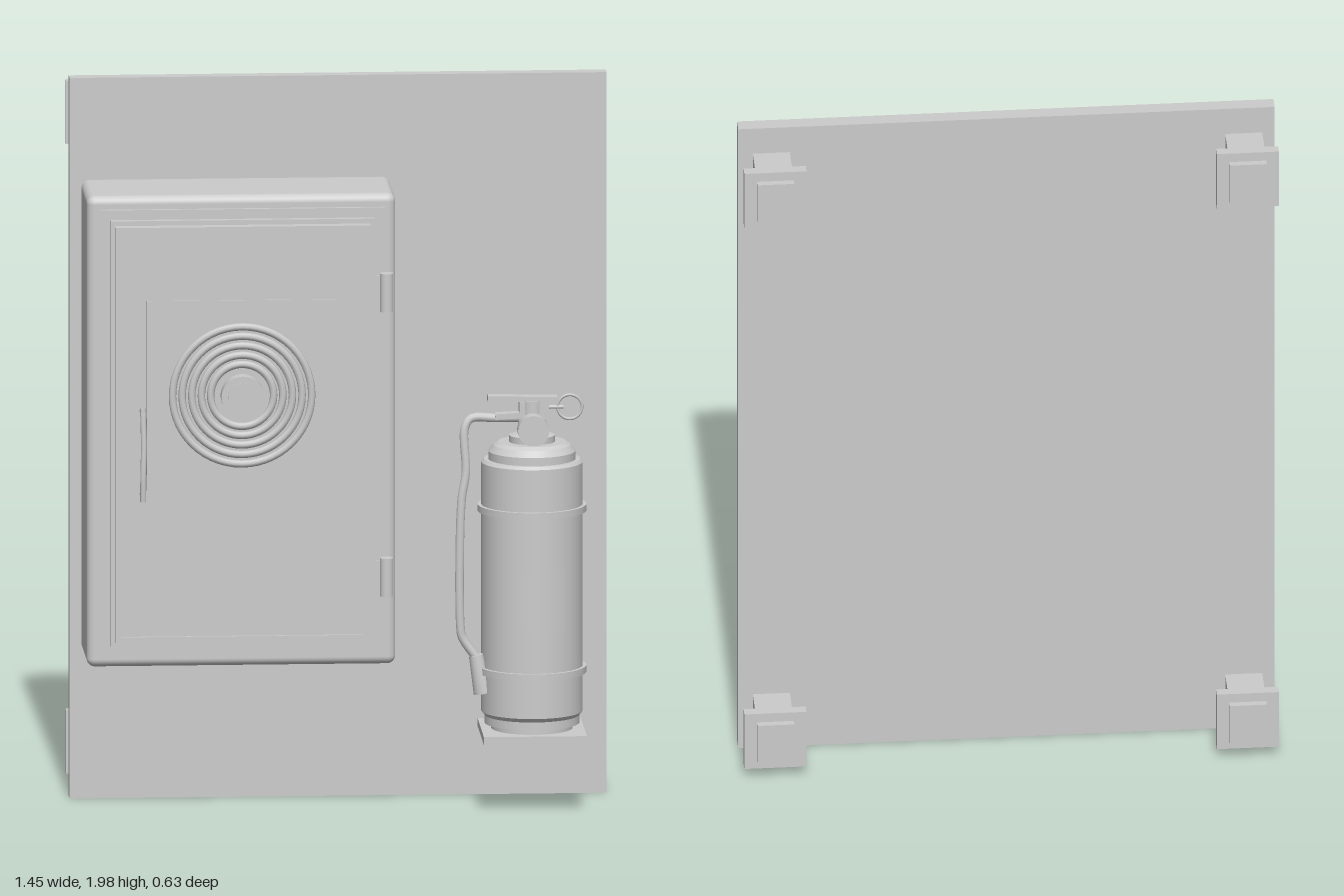
import * as THREE from 'three';
import { RoundedBoxGeometry } from 'three/addons/geometries/RoundedBoxGeometry.js';

export function createModel() {
  const root = new THREE.Group();
  const grey = new THREE.MeshStandardMaterial({ color: 0xcccccc });
  grey.name = 'lightGrey';
  const greySheet = new THREE.MeshStandardMaterial({ color: 0xcccccc, side: THREE.DoubleSide });
  greySheet.name = 'lightGreySheet';

  const add = (name, geo, parent = root, mat = grey) => {
    const m = new THREE.Mesh(geo, mat);
    m.name = name;
    parent.add(m);
    return m;
  };
  const group = (name) => {
    const g = new THREE.Group();
    g.name = name;
    root.add(g);
    return g;
  };
  // Box given by its limits on each axis
  const box = (name, x0, x1, y0, y1, z0, z1, parent) => {
    const m = add(name, new THREE.BoxGeometry(x1 - x0, y1 - y0, z1 - z0), parent);
    m.position.set((x0 + x1) / 2, (y0 + y1) / 2, (z0 + z1) / 2);
    return m;
  };
  // Lathe with hard edges: each profile segment gets its own normals
  const turned = (name, pts, parent) => {
    const g = new THREE.Group();
    g.name = name;
    parent.add(g);
    for (let i = 0; i < pts.length - 1; i++) {
      const seg = [pts[i], pts[i + 1]].map((p) => new THREE.Vector2(p[0], p[1]));
      add(name + 'Section', new THREE.LatheGeometry(seg, 40), g);
    }
    return g;
  };
  const tube = (name, pts, r, parent, n = 48) =>
    add(name, new THREE.TubeGeometry(
      new THREE.CatmullRomCurve3(pts.map((p) => new THREE.Vector3(...p)), false, 'centripetal'), n, r, 10), parent);

  // Backing board
  box('backBoard', -0.725, 0.725, 0.015, 1.99, -0.13, -0.09);

  // Four wall mounts behind the board
  for (const x of [-0.64, 0.637]) for (const y of [0.138, 1.863]) {
    const g = group('wallMount');
    box('mountStem', x - 0.05, x + 0.05, y - 0.06, y + 0.06, -0.265, -0.15, g);
    box('mountFlange', x - 0.084, x + 0.084, y - 0.087, y + 0.087, -0.292, -0.265, g);
    box('mountCap', x - 0.05, x + 0.05, y - 0.06, y + 0.06, -0.31, -0.292, g);
  }

  // Hose cabinet with stepped door
  const cab = group('cabinet');
  const shell = add('cabinetBody', new RoundedBoxGeometry(0.833, 1.29, 0.275, 4, 0.022), cab);
  shell.position.set(-0.278, 1.07, 0.053);
  box('cabinetRim', -0.66, 0.108, 0.46, 1.68, 0.185, 0.202, cab);
  box('doorSeal', -0.6, 0.045, 0.52, 1.62, 0.2, 0.215, cab);
  box('doorFlange', -0.632, 0.08, 0.488, 1.655, 0.211, 0.23, cab);
  const frame = new THREE.Shape();
  const rect = (p, x0, x1, y0, y1) =>
    p.moveTo(x0, y0).lineTo(x1, y0).lineTo(x1, y1).lineTo(x0, y1).closePath();
  rect(frame, -0.622, 0.067, 0.503, 1.642);
  const opening = new THREE.Path();
  rect(opening, -0.605, 0.047, 0.52, 1.624);
  frame.holes.push(opening);
  add('doorFrame', new THREE.ExtrudeGeometry(frame, { depth: 0.03, bevelEnabled: false }), cab).position.z = 0.23;
  box('doorPanel', -0.606, 0.048, 0.519, 1.625, 0.23, 0.252, cab);
  box('doorPlate', -0.537, -0.018, 0.92, 1.44, 0.251, 0.256, cab);

  // Door hinges
  for (const y of [0.672, 1.452]) {
    const h = add('hinge', new THREE.CylinderGeometry(0.018, 0.018, 0.105, 20), cab);
    h.position.set(0.112, y, 0.227);
    box('hingeLeaf', 0.06, 0.112, y - 0.045, y + 0.045, 0.217, 0.227, cab);
  }

  // Door handle with two posts
  tube('handleGrip', [[-0.55, 0.9, 0.309], [-0.55, 0.97, 0.312], [-0.548, 1.05, 0.308], [-0.55, 1.155, 0.3]], 0.008, cab);
  for (const y of [0.912, 1.14]) {
    const p = add('handlePost', new THREE.CylinderGeometry(0.007, 0.007, 0.06, 12), cab);
    p.rotation.x = Math.PI / 2;
    p.position.set(-0.55, y, 0.278);
  }

  // Coiled hose emblem: raised rings around a hub
  const coil = group('hoseCoil');
  coil.position.set(-0.28, 1.18, 0.26);
  for (const r of [0.188, 0.162, 0.136, 0.11, 0.085]) {
    const t = add('coilRing', new THREE.TorusGeometry(r, 0.01, 8, 56), coil);
    t.scale.z = 0.9;
  }
  const hub = add('coilHub', new THREE.CylinderGeometry(0.058, 0.058, 0.04, 36), coil);
  hub.rotation.x = Math.PI / 2;
  hub.position.z = 0.016;
  const hubCap = add('coilHubCap', new THREE.CylinderGeometry(0.04, 0.04, 0.006, 36), coil);
  hubCap.rotation.x = Math.PI / 2;
  hubCap.position.z = 0.038;

  // Fire extinguisher, built around its own axis
  const ext = group('extinguisher');
  ext.position.set(0.511, 0, 0.119);
  box('shelf', -0.138, 0.14, 0.213, 0.235, -0.15, 0.137, ext);
  turned('tank', [
    [0, 0.235], [0.11, 0.235], [0.11, 0.25], [0.128, 0.25], [0.128, 0.272], [0.137, 0.283],
    [0.137, 0.965], [0.13, 0.973], [0.118, 0.973], [0.118, 0.995], [0.105, 1.012], [0.092, 1.02],
    [0.062, 1.02], [0.062, 1.038], [0.038, 1.045], [0.038, 1.08], [0.028, 1.085], [0.028, 1.132], [0, 1.132],
  ], ext);
  for (const y of [0.398, 0.84]) {
    turned('strap', [[0.137, y - 0.009], [0.147, y - 0.009], [0.147, y + 0.009], [0.137, y + 0.009]], ext);
    box('bracket', -0.117, 0.123, y - 0.022, y + 0.022, -0.213, -0.06, ext);
  }
  // Curved label on the front of the tank
  const label = add('label', new THREE.CylinderGeometry(0.14, 0.14, 0.165, 20, 1, true, -0.63, 1.26), ext, greySheet);
  label.position.y = 0.607;

  // Valve, gauge, levers and pull ring
  const gauge = add('gauge', new THREE.CylinderGeometry(0.042, 0.042, 0.042, 28), ext);
  gauge.rotation.x = Math.PI / 2;
  gauge.position.set(0, 1.06, 0.054);
  const stem = add('gaugeStem', new THREE.CylinderGeometry(0.015, 0.015, 0.04, 14), ext);
  stem.rotation.x = Math.PI / 2;
  stem.position.set(0, 1.06, 0.025);
  box('valveBlock', -0.035, 0.045, 1.09, 1.13, -0.02, 0.02, ext);
  box('upperLever', -0.12, 0.068, 1.13, 1.145, -0.018, 0.018, ext).rotation.z = -0.02;
  box('lowerLever', -0.1, 0.02, 1.085, 1.1, -0.016, 0.016, ext).rotation.z = 0.05;
  const pin = add('safetyPin', new THREE.CylinderGeometry(0.005, 0.005, 0.07, 10), ext);
  pin.rotation.z = Math.PI / 2;
  pin.position.set(0.05, 1.113, 0);
  add('pullRing', new THREE.TorusGeometry(0.033, 0.004, 8, 32), ext).position.set(0.102, 1.113, 0);

  // Discharge hose and nozzle
  tube('hose', [[-0.02, 1.085, 0], [-0.1, 1.085, 0], [-0.165, 1.085, 0.005], [-0.182, 1.06, 0.01],
    [-0.18, 0.94, 0.02], [-0.192, 0.86, 0.025], [-0.195, 0.52, 0.03], [-0.19, 0.49, 0.03], [-0.15, 0.43, 0.03]], 0.012, ext, 80);
  const nozzle = add('nozzle', new THREE.CylinderGeometry(0.019, 0.027, 0.105, 20), ext);
  nozzle.position.set(-0.143, 0.39, 0.031);
  nozzle.rotation.z = 0.2;

  return root;
}
